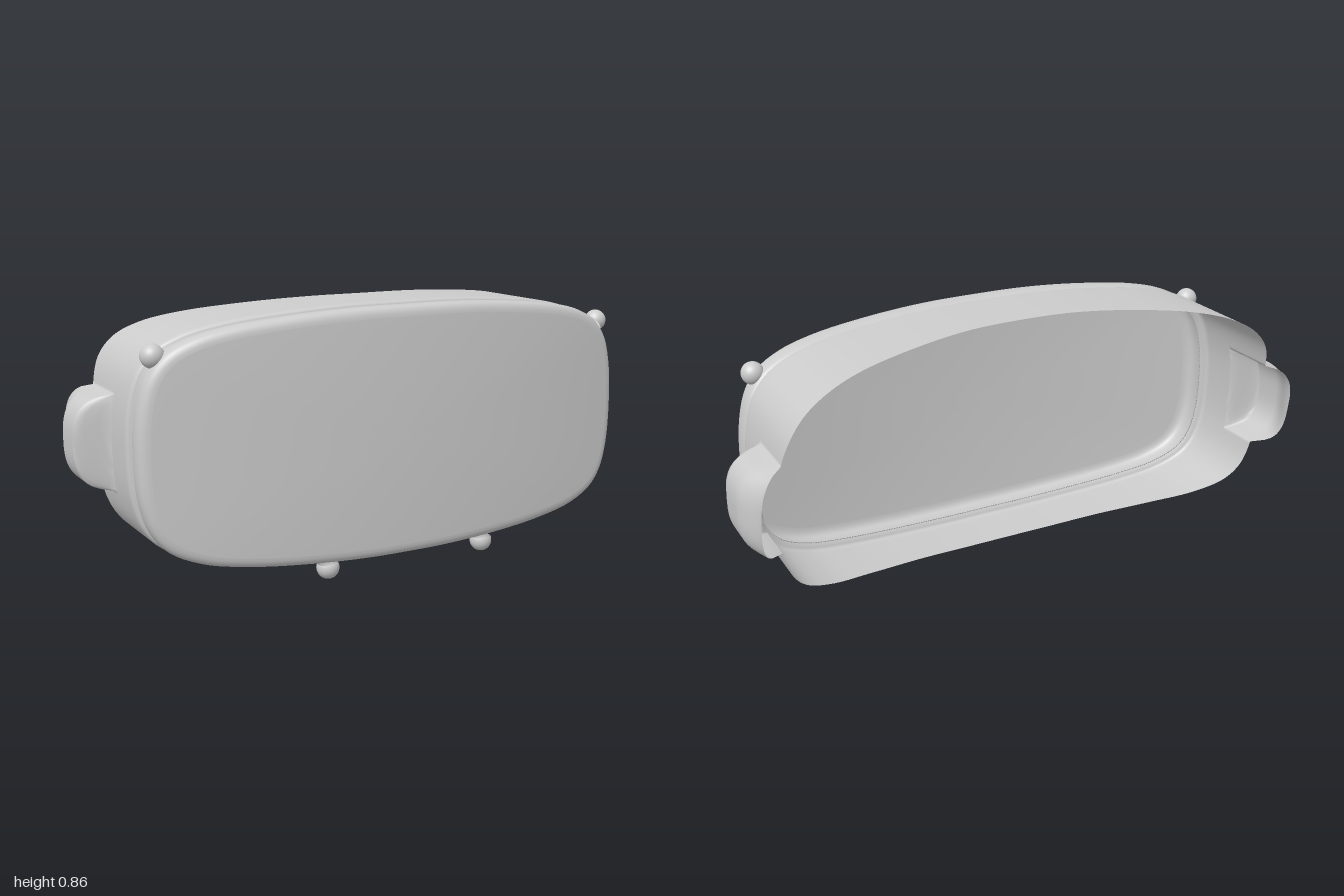
import * as THREE from 'three';

const COLS = 480, MID_Y = 0.45;
const { smoothstep, lerp } = THREE.MathUtils;
const material = new THREE.MeshStandardMaterial({ color: 0xcccccc, side: THREE.DoubleSide });

// Half outline from top centre to bottom centre: x, y, z of the back edge
const half = [
  [0, 0.862, -0.078], [0.2, 0.86, -0.09], [0.4, 0.848, -0.13], [0.6, 0.825, -0.185],
  [0.72, 0.795, -0.23], [0.8, 0.752, -0.258], [0.85, 0.69, -0.265], [0.88, 0.59, -0.24],
  [0.89, 0.45, -0.215], [0.88, 0.3, -0.195], [0.85, 0.205, -0.18], [0.8, 0.145, -0.155],
  [0.7, 0.098, -0.11], [0.55, 0.07, -0.06], [0.35, 0.052, -0.02], [0.15, 0.043, -0.005],
  [0, 0.042, -0.003],
];

// Evenly spaced outline points with their outward direction
function makeOutline() {
  const mirrored = half.slice(1, -1).reverse().map(([x, y, z]) => [-x, y, z]);
  const points = [...half, ...mirrored].map((p) => new THREE.Vector3(...p));
  const curve = new THREE.CatmullRomCurve3(points, true);
  curve.arcLengthDivisions = 1500;
  const ring = curve.getSpacedPoints(COLS).slice(0, COLS);
  return ring.map((p, i) => {
    const a = ring[(i + COLS - 1) % COLS], b = ring[(i + 1) % COLS];
    const n = new THREE.Vector2(a.y - b.y, b.x - a.x).normalize();
    return { x: p.x, y: p.y, back: p.z, nx: n.x, ny: n.y };
  });
}

// The whole front wraps gently backwards towards the sides
const bend = (x, z) => z - 0.08 * (x / 0.89) ** 2;

const offset = (p, d, z) => {
  const x = p.x + p.nx * d;
  return [x, p.y + p.ny * d, bend(x, z)];
};

// Closed-ring surface; pointAt(outlinePoint, row) returns [x, y, z]
function loft(name, outline, rows, pointAt) {
  const positions = [], index = [];
  for (let r = 0; r < rows; r++) {
    outline.forEach((p, c) => {
      positions.push(...pointAt(p, r));
      if (r === rows - 1) return;
      const a = r * COLS + c, b = r * COLS + (c + 1) % COLS;
      if (r > 0) index.push(a, b, a + COLS);
      index.push(b, b + COLS, a + COLS);
    });
  }
  const geometry = new THREE.BufferGeometry();
  geometry.setAttribute('position', new THREE.Float32BufferAttribute(positions, 3));
  geometry.setIndex(index);
  geometry.computeVertexNormals();
  const mesh = new THREE.Mesh(geometry, material);
  mesh.name = name;
  return mesh;
}

// Smooth profile of [outward offset, z]
const profile = (pts, n) =>
  new THREE.SplineCurve(pts.map((p) => new THREE.Vector2(...p))).getPoints(n);

export function createModel() {
  const group = new THREE.Group();
  const outline = makeOutline();

  // Front panel: shallow dome, rounded rim, then in to the groove
  const DOME = 12;
  const rim = profile([[-0.04, 0.28], [-0.024, 0.277], [-0.011, 0.269], [-0.005, 0.255],
    [-0.004, 0.235], [-0.007, 0.213], [-0.014, 0.2], [-0.026, 0.19]], 24);
  group.add(loft('frontPanel', outline, DOME + rim.length, (p, r) => {
    if (r >= DOME) return offset(p, rim[r - DOME].x, rim[r - DOME].y);
    const s = r / DOME;
    const [ex, ey] = offset(p, rim[0].x, 0);
    const x = ex * s;
    return [x, lerp(MID_Y, ey, s), bend(x, 0.287 - 0.007 * s * s)];
  }));

  // Shell: rounded front edge, straight wall, hollow side tabs, wavy open back
  const lip = profile([[-0.026, 0.19], [-0.016, 0.184], [-0.006, 0.18], [-0.001, 0.172], [0, 0.16]], 12);
  const WALL = 48;
  group.add(loft('shell', outline, lip.length + WALL, (p, r) => {
    if (r < lip.length) return offset(p, lip[r].x, lip[r].y);
    const u = (r - lip.length + 1) / WALL;
    const k = Math.min(1, Math.abs(p.y - MID_Y) / 0.15);
    const tab = Math.abs(p.x) > 0.8 ? (1 - k ** 3) ** (1 / 2.5) : 0;
    const z = lerp(bend(p.x, 0.16), p.back - 0.07 * tab, u);
    const rise = smoothstep(-z, 0.042, 0.068);
    const taper = 0.04 * smoothstep(-z, 0.17, 0.29);
    return [p.x + Math.sign(p.x) * tab * rise * (0.11 - taper), p.y, z];
  }));

  // Small round studs on the rim, open on the inner side
  const studGeometry = new THREE.SphereGeometry(0.037, 28, 16, 0, Math.PI * 2, 0, Math.PI * 0.62);
  const up = new THREE.Vector3(0, 1, 0);
  for (const side of [-1, 1]) {
    for (const [name, x, y, z, dx, dy] of [
      ['upperStud', 0.822, 0.745, 0.165, 0.75, 0.66],
      ['lowerStud', 0.293, 0.037, 0.243, 0, -1],
    ]) {
      const stud = new THREE.Mesh(studGeometry, material);
      stud.name = (side > 0 ? 'left ' : 'right ') + name;
      stud.position.set(side * x, y, z);
      stud.quaternion.setFromUnitVectors(up, new THREE.Vector3(side * dx, dy, 0).normalize());
      group.add(stud);
    }
  }
  return group;
}
